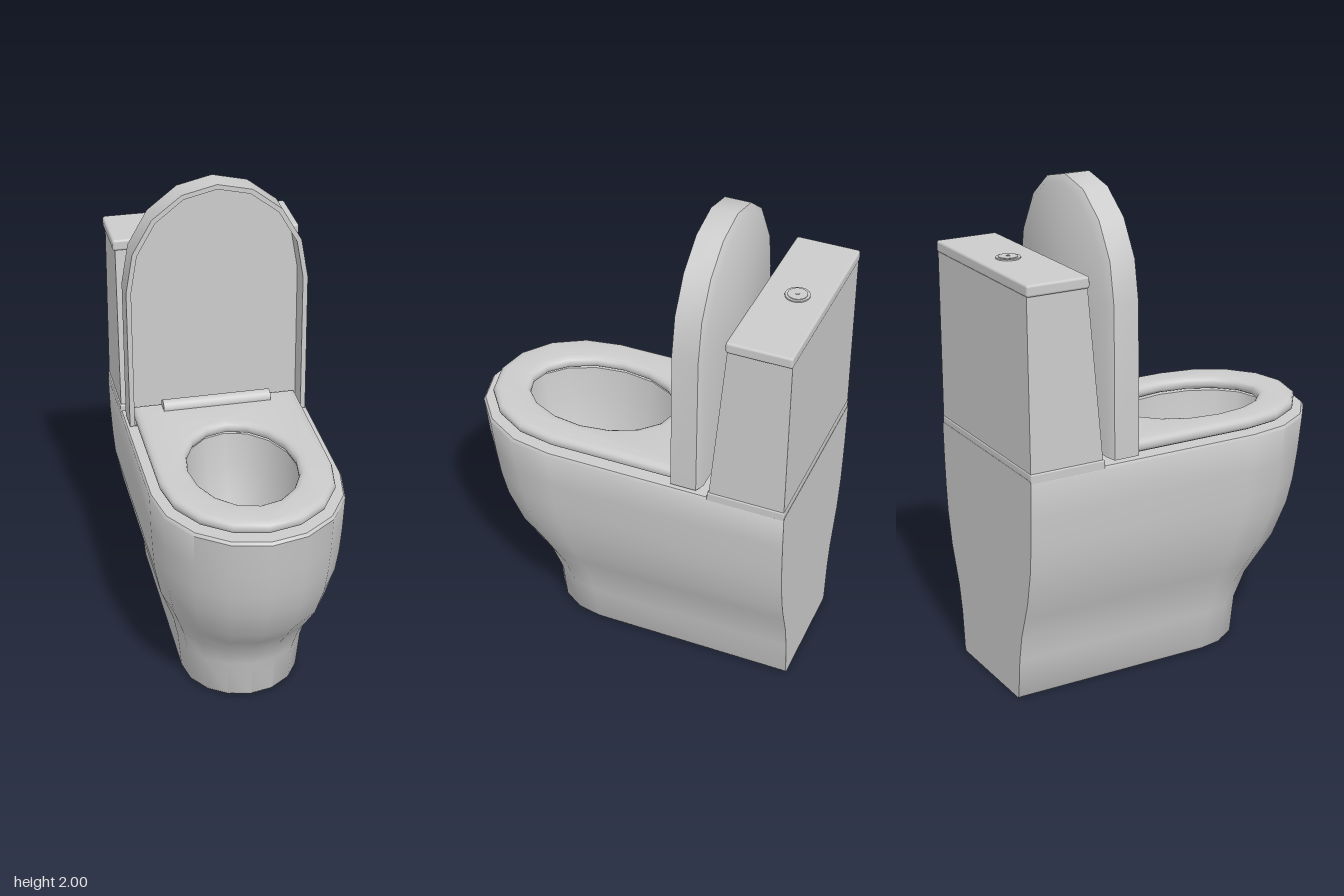
import * as THREE from 'three';
import { toCreasedNormals } from 'three/addons/utils/BufferGeometryUtils.js';
import { RoundedBoxGeometry } from 'three/addons/geometries/RoundedBoxGeometry.js';

const material = new THREE.MeshStandardMaterial({ color: 0xcccccc, side: THREE.DoubleSide });

// D-shaped ring at height y: square back, straight sides, half-ellipse front
function dRing(y, w, zBack, zMid, zFront, steps = 8) {
  const ring = [new THREE.Vector3(w, y, zBack)];
  for (let i = 0; i <= steps; i++) {
    const a = (i / steps) * Math.PI;
    ring.push(new THREE.Vector3(w * Math.cos(a), y, zMid + (zFront - zMid) * Math.sin(a)));
  }
  ring.push(new THREE.Vector3(-w, y, zBack));
  return ring;
}

function rectRing(y, w, zBack, zFront) {
  return [[w, zBack], [w, zFront], [-w, zFront], [-w, zBack]].map(([x, z]) => new THREE.Vector3(x, y, z));
}

// Ring collapsed to one point, used to close a loft
const capRing = (ring, z) => ring.map((p) => new THREE.Vector3(0, p.y, z));

// Skin a series of closed rings
function loft(rings, crease = 0.65) {
  const n = rings[0].length;
  const index = [];
  for (let r = 0; r < rings.length - 1; r++) {
    for (let i = 0; i < n; i++) {
      const a = r * n + i, b = r * n + (i + 1) % n;
      index.push(a, a + n, b + n, a, b + n, b);
    }
  }
  const geometry = new THREE.BufferGeometry().setFromPoints(rings.flat());
  geometry.setIndex(index);
  geometry.computeVertexNormals();
  return toCreasedNormals(geometry, crease);
}

// Flat shape of a ring with an elliptical hole, drawn in x and -z
function ringShape(ring, rx, rz, zCentre) {
  const shape = new THREE.Shape(ring.map((p) => new THREE.Vector2(p.x, -p.z)));
  const hole = [];
  for (let i = 0; i < 16; i++) {
    const a = (i / 16) * Math.PI * 2;
    hole.push(new THREE.Vector2(rx * Math.sin(a), -zCentre - rz * Math.cos(a)));
  }
  shape.holes.push(new THREE.Path(hole));
  return shape;
}

export function createModel() {
  const group = new THREE.Group();
  const add = (name, geometry, x = 0, y = 0, z = 0) => {
    const mesh = new THREE.Mesh(geometry, material);
    mesh.name = name;
    mesh.position.set(x, y, z);
    group.add(mesh);
    return mesh;
  };
  const back = -0.71;

  // Pedestal: height, half width, start of the curve, front
  const bodyRings = [
    [0, 0.235, 0.14, 0.38], [0.012, 0.243, 0.14, 0.39], [0.17, 0.258, 0.15, 0.402],
    [0.28, 0.28, 0.17, 0.452], [0.36, 0.308, 0.19, 0.52], [0.44, 0.336, 0.21, 0.585],
    [0.58, 0.365, 0.24, 0.65], [0.68, 0.374, 0.26, 0.675], [0.8, 0.381, 0.27, 0.695],
    [0.945, 0.385, 0.28, 0.713], [0.957, 0.378, 0.28, 0.704],
  ].map(([y, w, zMid, zFront]) => dRing(y, w, back, zMid, zFront));
  add('pedestal', loft([capRing(bodyRings[0], -0.2), ...bodyRings]));

  // Top of the pedestal around the bowl
  const rimShape = ringShape(bodyRings[bodyRings.length - 1], 0.23, 0.33, 0.21);
  add('bowlRim', new THREE.ShapeGeometry(rimShape).rotateX(-Math.PI / 2), 0, 0.957, 0);

  // Bowl hollow
  const bowlProfile = [[0, 0.42], [0.35, 0.44], [0.62, 0.52], [0.82, 0.66], [0.95, 0.82], [1, 0.957]]
    .map(([r, y]) => new THREE.Vector2(r, y));
  add('bowl', new THREE.LatheGeometry(bowlProfile, 16).scale(0.23, 1, 0.33), 0, 0, 0.21);

  // Seat with rounded edges
  const seatGeometry = new THREE.ExtrudeGeometry(
    ringShape(dRing(0, 0.345, -0.33, 0.28, 0.67), 0.217, 0.31, 0.21),
    { depth: 0.012, bevelThickness: 0.02, bevelSize: 0.03, bevelOffset: -0.03, bevelSegments: 3 },
  ).rotateX(-Math.PI / 2);
  add('seat', toCreasedNormals(seatGeometry, 0.7), 0, 0.983, 0);

  // Hinge bar behind the seat
  add('hingeBar', new THREE.CylinderGeometry(0.03, 0.03, 0.45, 16).rotateZ(Math.PI / 2), 0, 1.02, -0.28);

  // Raised lid: a hollow shell, lofted from front to back and stood upright
  const inner = (d) => dRing(d, 0.35, 0.972, 1.57, 1.98);
  const outer = (d) => dRing(d, 0.37, 0.967, 1.57, 2.0);
  const lidBack = dRing(0.365, 0.34, 0.975, 1.57, 1.968);
  add('lid', loft([
    capRing(inner(0.335), 1.4), inner(0.335), inner(0.24),
    outer(0.24), outer(0.345), lidBack, capRing(lidBack, 1.4),
  ]).rotateX(-Math.PI / 2));

  // Shelf and cistern with a sloping front
  add('cisternShelf', new RoundedBoxGeometry(0.768, 0.04, 0.315, 1, 0.006), 0, 0.963, -0.5515);
  const tank = [rectRing(0.984, 0.38, -0.707, -0.402), rectRing(1.662, 0.375, -0.707, -0.458)];
  add('cistern', loft([capRing(tank[0], -0.55), ...tank, capRing(tank[1], -0.58)]));
  add('cisternLid', new RoundedBoxGeometry(0.77, 0.046, 0.258, 2, 0.01), 0, 1.683, -0.581);

  // Flush button: collar, push plate and centre dot
  [['buttonCollar', 0.048, 1.711], ['flushButton', 0.038, 1.714], ['buttonDot', 0.008, 1.716]]
    .forEach(([name, r, top]) => add(name, new THREE.CylinderGeometry(r, r, 0.02, 24), 0, top - 0.01, -0.59));

  return group;
}
